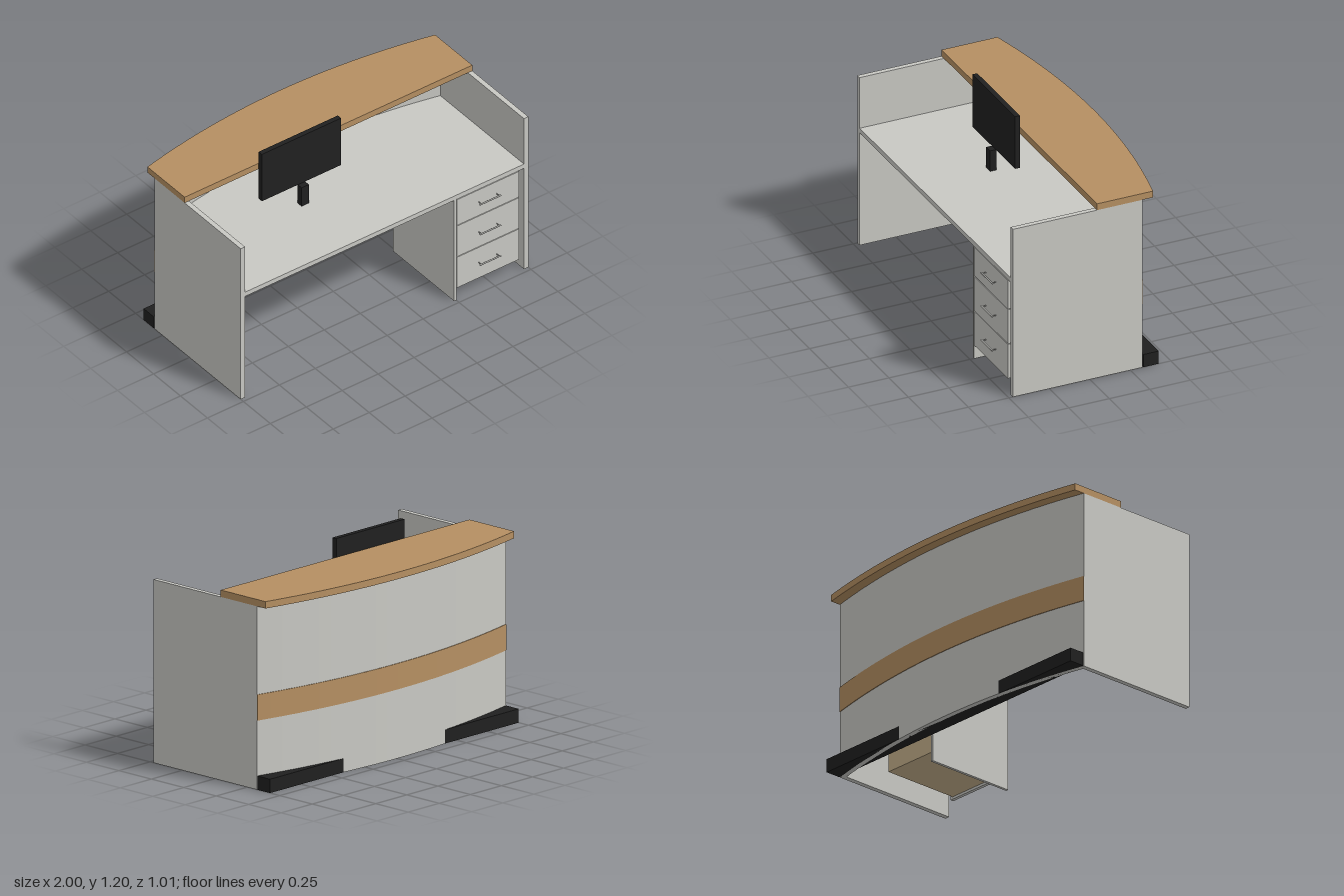
import * as THREE from 'three';

const mat = (name, color) => {
  const m = new THREE.MeshStandardMaterial({ color });
  m.name = name;
  return m;
};

export function createModel() {
  const group = new THREE.Group();
  const grey = mat('greyLaminate', 0xc8c8c3);
  const wood = mat('wood', 0xb58f62);
  const black = mat('black', 0x202020);
  const beige = mat('drawerWood', 0xc6b18c);
  const metal = mat('handleMetal', 0xb4b4b0);

  const add = (name, geo, material, parent = group) => {
    const mesh = new THREE.Mesh(geo, material);
    mesh.name = name;
    parent.add(mesh);
    return mesh;
  };
  // Box given by its minimum and maximum corners
  const box = (name, material, [x0, y0, z0], [x1, y1, z1], parent) => {
    const geo = new THREE.BoxGeometry(x1 - x0, y1 - y0, z1 - z0);
    geo.translate((x0 + x1) / 2, (y0 + y1) / 2, (z0 + z1) / 2);
    return add(name, geo, material, parent);
  };

  // Bowed edge: distance behind the centre line at x
  const bow = (x, offset, rise = 0.12) => offset + rise * (1 - x * x);
  // Slab between a bowed back edge and a front edge, both functions of x
  const bowedSlab = (name, material, half, back, front, y0, y1) => {
    const n = 24, pts = [];
    for (let i = 0; i <= n; i++) {
      const x = -half + (2 * half * i) / n;
      pts.push(new THREE.Vector2(x, front(x)));
    }
    for (let i = n; i >= 0; i--) {
      const x = -half + (2 * half * i) / n;
      pts.push(new THREE.Vector2(x, back(x)));
    }
    const geo = new THREE.ExtrudeGeometry(new THREE.Shape(pts), { depth: y1 - y0, bevelEnabled: false });
    geo.rotateX(-Math.PI / 2);
    geo.translate(0, y0, 0);
    return add(name, geo, material);
  };

  // Carcass: sides, bowed panel, work surface, counter
  box('rightSidePanel', grey, [-1, 0, -0.325], [-0.97, 1.06, 0.475]);
  box('leftSidePanel', grey, [0.97, 0, -0.325], [1, 1.06, 0.475]);
  bowedSlab('bowedPanel', grey, 1, x => bow(x, 0.325), x => bow(x, 0.295), 0, 1.06);
  bowedSlab('accentBand', wood, 1, x => bow(x, 0.329), x => bow(x, 0.325), 0.4, 0.55);
  bowedSlab('counterTop', wood, 1, x => bow(x, 0.39, 0.115), () => 0.045, 1.06, 1.1);
  bowedSlab('workSurface', grey, 0.97, x => bow(x, 0.296), () => -0.475, 0.71, 0.74);
  box('plinth', black, [-1, 0, -0.425], [1, 0.08, -0.33]);
  box('drawerDivider', grey, [0.485, 0, -0.095], [0.502, 0.71, 0.475]);

  // Drawers: front, open tray and bar handle
  const rows = [[0.085, 0.3, 0.195], [0.305, 0.52, 0.41], [0.525, 0.705, 0.62]];
  for (const [y0, y1, handleY] of rows) {
    const drawer = new THREE.Group();
    drawer.name = 'drawer';
    group.add(drawer);
    box('drawerFront', grey, [0.505, y0, 0.455], [0.935, y1, 0.475], drawer);
    const b = y0 + 0.015, t = b + 0.15;
    box('trayBottom', beige, [0.52, b, -0.03], [0.92, b + 0.012, 0.455], drawer);
    box('trayBack', beige, [0.532, b + 0.012, -0.03], [0.908, t, -0.018], drawer);
    for (const x of [0.52, 0.908])
      box('traySide', beige, [x, b + 0.012, -0.03], [x + 0.012, t, 0.455], drawer);

    const bar = add('handleBar', new THREE.CylinderGeometry(0.005, 0.005, 0.145, 12), metal, drawer);
    bar.rotation.z = Math.PI / 2;
    bar.position.set(0.7175, handleY, 0.5);
    for (const x of [0.655, 0.78]) {
      const post = add('handlePost', new THREE.CylinderGeometry(0.003, 0.003, 0.025, 8), metal, drawer);
      post.rotation.x = Math.PI / 2;
      post.position.set(x, handleY, 0.4875);
    }
  }

  // Monitor
  const monitor = new THREE.Group();
  monitor.name = 'monitor';
  group.add(monitor);
  box('screen', black, [-0.5, 0.87, -0.025], [0.05, 1.2, 0.005], monitor);
  box('stand', black, [-0.25, 0.74, 0], [-0.2, 0.87, 0.04], monitor);

  return group;
}
